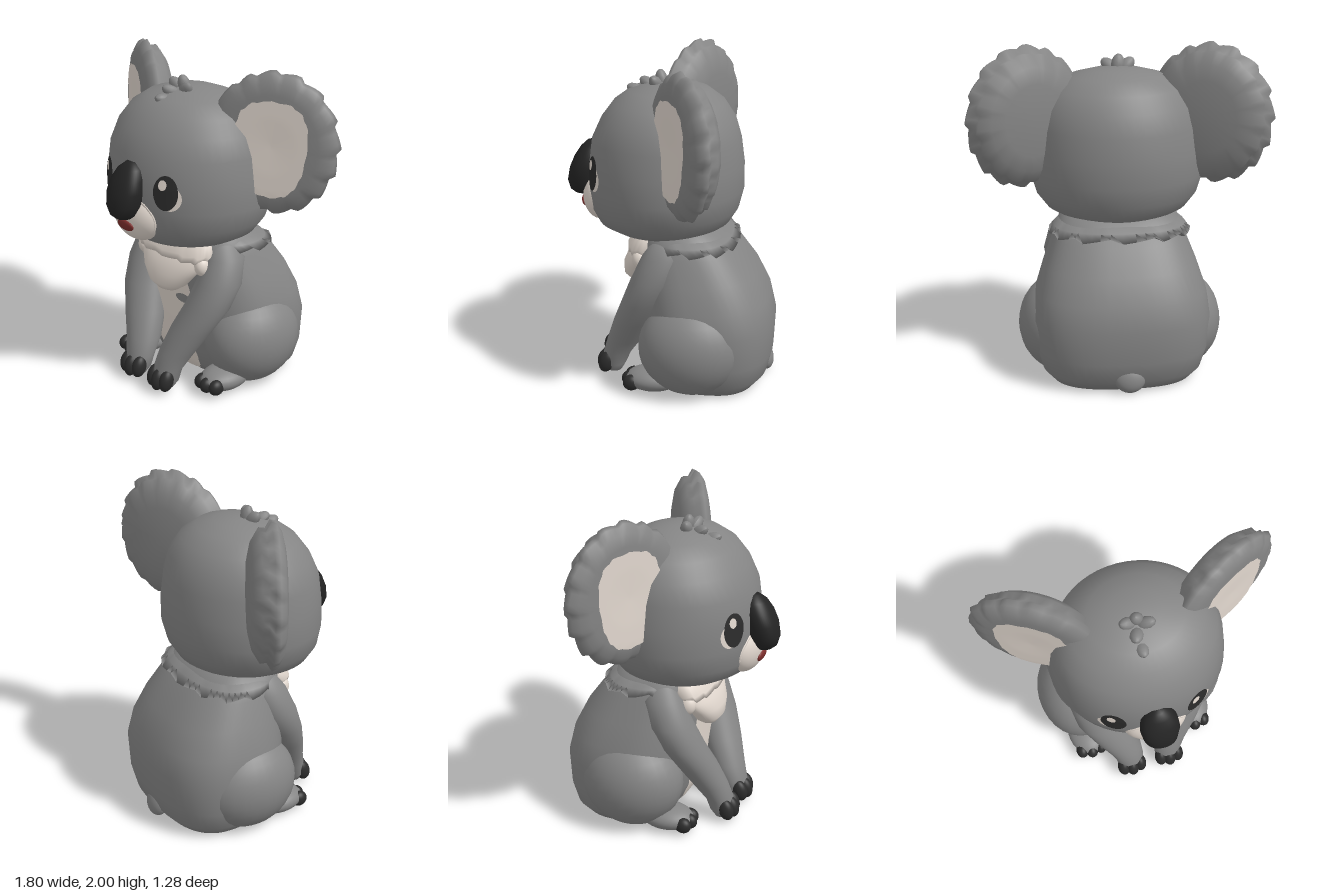
import * as THREE from 'three';
import { mergeVertices } from 'three/addons/utils/BufferGeometryUtils.js';

const TAU = Math.PI * 2;
const paint = (name, color) => Object.assign(new THREE.MeshStandardMaterial({ color }), { name });
const saw = (x) => x - Math.floor(x + 1e-6);
const power = (v, n) => Math.sign(v) * Math.abs(v) ** (2 / n);

// Closed-ring grid: fn(angle, row) gives a point; rows run upwards or outwards along the axis
function grid(nu, nv, fn) {
  const pos = [], idx = [];
  for (let j = 0; j <= nv; j++) for (let i = 0; i < nu; i++) pos.push(...fn((i / nu) * TAU, j));
  for (let j = 0; j < nv; j++) for (let i = 0; i < nu; i++) {
    const a = j * nu + i, b = j * nu + (i + 1) % nu;
    idx.push(a, b, a + nu, b, b + nu, a + nu);
  }
  const g = new THREE.BufferGeometry();
  g.setAttribute('position', new THREE.Float32BufferAttribute(pos, 3));
  g.setIndex(idx);
  return mergeVertices(g, 1e-5);
}

// Horizontal sections: each row is [y, centreX, halfWidth, frontZ, backZ]; teeth make a ragged hem
function loft(rows, n = 2, hemRows = 0, teeth = 16, depth = 0.04) {
  const last = rows.length + 1;
  return grid(48, last, (t, j) => {
    const k = Math.min(Math.max(j - 1, 0), rows.length - 1);
    const [y, cx, w, zf, zb] = rows[k];
    const size = j === 0 || j === last ? 0 : 1;
    const hem = k < hemRows && size ? depth * saw((t / TAU) * teeth) : 0;
    return [cx + w * size * power(Math.sin(t), n), y + hem,
      (zf + zb) / 2 + ((zf - zb) / 2) * size * power(Math.cos(t), n)];
  });
}

// Front depth of a lofted surface at x, y
function frontZ(rows, n) {
  return (x, y) => {
    let k = 0;
    while (k < rows.length - 2 && rows[k + 1][0] < y) k++;
    const f = THREE.MathUtils.clamp((y - rows[k][0]) / (rows[k + 1][0] - rows[k][0]), 0, 1);
    const [, , w, zf, zb] = rows[k].map((v, i) => v + (rows[k + 1][i] - v) * f);
    return (zf + zb) / 2 + ((zf - zb) / 2) * Math.max(0, 1 - Math.abs(x / w) ** n) ** (1 / n);
  };
}

// Thin oval skin laid on a surface; taper narrows its lower end
function patch(cx, cy, rx, ry, surf, lift, rough = 0, n = 2, taper = 0) {
  return grid(48, 12, (t, j) => {
    const r = (1 - j / 12) * (1 - rough * saw((t / TAU) * 16));
    const v = r * power(Math.sin(t), n);
    const x = cx + rx * (1 + taper * v) * r * power(Math.cos(t), n), y = cy + ry * v;
    return [x, y, surf(x, y) + lift];
  });
}

function ball(x, y, z, rx, ry, rz, tilt = 0) {
  return new THREE.SphereGeometry(1, 28, 18).scale(rx, ry, rz).rotateX(tilt).translate(x, y, z);
}

const HEAD = [
  [0.92, 0, 0.2, 0.25, -0.15], [0.945, 0, 0.33, 0.36, -0.27], [1.0, 0, 0.43, 0.45, -0.35],
  [1.08, 0, 0.49, 0.49, -0.4], [1.2, 0, 0.525, 0.505, -0.43], [1.35, 0, 0.515, 0.505, -0.43],
  [1.5, 0, 0.5, 0.485, -0.41], [1.62, 0, 0.465, 0.43, -0.375], [1.72, 0, 0.39, 0.355, -0.31],
  [1.79, 0, 0.28, 0.26, -0.22], [1.825, 0, 0.15, 0.14, -0.12], [1.835, 0, 0.05, 0.05, -0.04],
];
const BODY = [
  [0.01, 0, 0.42, 0.02, -0.54], [0.08, 0, 0.48, 0.08, -0.6], [0.2, 0, 0.52, 0.14, -0.63],
  [0.4, 0, 0.535, 0.17, -0.64], [0.55, 0, 0.51, 0.18, -0.605], [0.7, 0, 0.46, 0.19, -0.53],
  [0.85, 0, 0.4, 0.19, -0.42], [0.95, 0, 0.36, 0.18, -0.33], [1.02, 0, 0.28, 0.14, -0.24],
];
const ARM = [
  [0.03, 0.13, 0.05, 0.4, 0.31], [0.08, 0.13, 0.085, 0.42, 0.28], [0.15, 0.13, 0.092, 0.42, 0.25],
  [0.25, 0.155, 0.112, 0.39, 0.18], [0.4, 0.215, 0.135, 0.34, 0.1], [0.55, 0.28, 0.145, 0.28, 0.02],
  [0.7, 0.31, 0.138, 0.22, -0.06], [0.85, 0.31, 0.105, 0.15, -0.1], [0.93, 0.29, 0.06, 0.09, -0.06],
];
const NOSE = [
  [1.14, 0, 0.05, 0.6, 0.48], [1.165, 0, 0.08, 0.63, 0.46], [1.22, 0, 0.105, 0.645, 0.45],
  [1.3, 0, 0.116, 0.63, 0.45], [1.37, 0, 0.108, 0.6, 0.44], [1.43, 0, 0.08, 0.56, 0.43],
  [1.467, 0, 0.035, 0.52, 0.43],
];
// Ear section from back to front: [radius, depth]
const EAR = [[0, -0.14], [0.5, -0.13], [0.72, -0.11], [0.9, -0.065], [0.89, -0.03], [1, 0],
  [0.97, 0.03], [0.86, 0.06], [0.7, 0.075], [0.4, 0.075], [0, 0.07]];
const EAR_W = 0.38, EAR_H = 0.425;
const earFront = (x, y) => {
  const r = Math.hypot(x / EAR_W, y / EAR_H);
  let k = 7;
  while (k < 9 && EAR[k + 1][0] > r) k++;
  const [r0, h0] = EAR[k], [r1, h1] = EAR[k + 1];
  return h0 + (h1 - h0) * (r0 - r) / (r0 - r1);
};
const placeEar = (g) => g.rotateY(0.5).translate(0.555, 1.575, -0.112);

export function createModel() {
  const root = new THREE.Group();
  root.name = 'koala';
  const fur = paint('grey fur', 0x858585), cream = paint('cream fur', 0xe2d8cf);
  const dark = paint('dark claws and eyes', 0x2c2c2c), black = paint('black nose', 0x242424);
  const red = paint('red mouth', 0x7e2f2d);

  // Adds a part; side -1 mirrors it across x
  function add(name, g, mat, side = 1) {
    if (side < 0) {
      g.scale(-1, 1, 1);
      const ix = g.index.array;
      for (let i = 0; i < ix.length; i += 3) [ix[i], ix[i + 1]] = [ix[i + 1], ix[i]];
    }
    g.computeVertexNormals();
    const m = new THREE.Mesh(g, mat);
    m.name = name;
    root.add(m);
  }

  // Trunk, belly with a stray grey lock, and tail
  const bodyZ = frontZ(BODY, 2.6), headZ = frontZ(HEAD, 2);
  add('body', loft(BODY, 2.6), fur);
  add('belly', patch(0, 0.38, 0.17, 0.365, bodyZ, 0.008, 0.04, 4), cream);
  add('bellyLock', patch(0.11, 0.555, 0.065, 0.03, bodyZ, 0.014, 0.1), fur);
  add('tail', ball(-0.02, 0.1, -0.575, 0.095, 0.09, 0.055, 0.3), fur);

  // Ragged collar and chest bib
  add('collar', loft([[0.87, 0, 0.425, 0.13, -0.412], [0.92, 0, 0.395, 0.14, -0.37],
    [0.98, 0, 0.32, 0.13, -0.29]], 2.4, 1, 12, 0.04), fur);
  add('lowerBib', loft([[0.61, 0, 0.08, 0.27, 0.17], [0.65, 0, 0.14, 0.3, 0.13], [0.72, 0, 0.2, 0.3, 0.1],
    [0.79, 0, 0.25, 0.27, 0.08], [0.88, 0, 0.25, 0.22, 0.08]], 2.2), cream);
  add('upperBib', loft([[0.82, 0, 0.27, 0.265, 0.06], [0.86, 0, 0.3, 0.265, 0.04],
    [0.94, 0, 0.28, 0.22, 0.02], [1.0, 0, 0.2, 0.16, 0.02]], 2.6, 2, 12, 0.02), cream);

  // Head, muzzle, nose and mouth
  add('head', loft(HEAD), fur);
  add('muzzle', ball(0, 1.138, 0.435, 0.192, 0.158, 0.115), cream);
  add('muzzleEdge', patch(0, 1.13, 0.182, 0.138, headZ, 0.007), cream);
  add('nose', loft(NOSE, 2.2), black);
  add('mouth', ball(0, 1.09, 0.54, 0.068, 0.036, 0.018, 0.25), red);

  // Tuft of soft locks on the crown
  for (const [x, y, z, tx, tz] of [[-0.06, 1.83, 0.08, 0.3, 0.8], [-0.01, 1.84, 0.07, 0.2, 0.15],
    [0.035, 1.825, 0.1, 0.4, -0.8], [-0.03, 1.81, 0.15, 1.0, 0.3], [-0.02, 1.775, 0.22, 1.2, 0]]) {
    add('crownTuft', new THREE.SphereGeometry(1, 12, 8).scale(0.04, 0.065, 0.036)
      .rotateZ(tz).rotateX(tx).translate(x, y, z), fur);
  }

  for (const s of [1, -1]) {
    const side = s > 0 ? 'left' : 'right';

    // Eyes: both glints sit on the same side of the pupil
    add(side + 'EyeWhite', patch(0.273, 1.295, 0.06, 0.075, headZ, 0.004), cream, s);
    add(side + 'Eye', patch(0.25, 1.325, 0.068, 0.103, headZ, 0.009), dark, s);
    add(side + 'EyeGlint', patch(s > 0 ? 0.237 : 0.263, 1.372, 0.023, 0.031, headZ, 0.013), cream, s);

    // Ear, fringed on its free edge, with a pale lining
    add(side + 'Ear', placeEar(grid(80, EAR.length - 1, (t, j) => {
      const [r, h] = EAR[j], c = Math.cos(t);
      const fringe = c > -0.6 ? 1.02 - 0.09 * r ** 4 * saw((t / TAU) * 16 + (j < 5 ? 0.5 : 0)) : 1.04;
      return [EAR_W * r * fringe * c, EAR_H * r * Math.min(fringe, 1) * Math.sin(t), h];
    })), fur, s);
    add(side + 'EarLining', placeEar(patch(0, -0.02, 0.21, 0.287, earFront, 0.009, 0.05, 2.6, 0.15)), cream, s);

    // Arm and leg
    add(side + 'Arm', loft(ARM), fur, s);
    add(side + 'Thigh', ball(0.36, 0.3, -0.15, 0.257, 0.295, 0.32), fur, s);
    add(side + 'Foot', ball(0.36, 0.085, 0.08, 0.125, 0.075, 0.17), fur, s);

    // Cream lock beside the bib
    add(side + 'BibLock', ball(0.255, 0.8, 0.17, 0.045, 0.06, 0.05, 0.2), cream, s);

    // Claws
    for (const k of [-1, 0, 1]) {
      const out = Math.abs(k);
      add(side + 'HandClaw', ball(0.128 + k * 0.056, 0.09 + 0.004 * out, 0.412 - 0.015 * out,
        0.04, 0.07, 0.048, -0.3), dark, s);
      add(side + 'FootClaw', ball(0.36 + k * 0.063, 0.073, 0.222 - 0.015 * out, 0.04, 0.049, 0.052), dark, s);
    }
  }
  return root;
}
